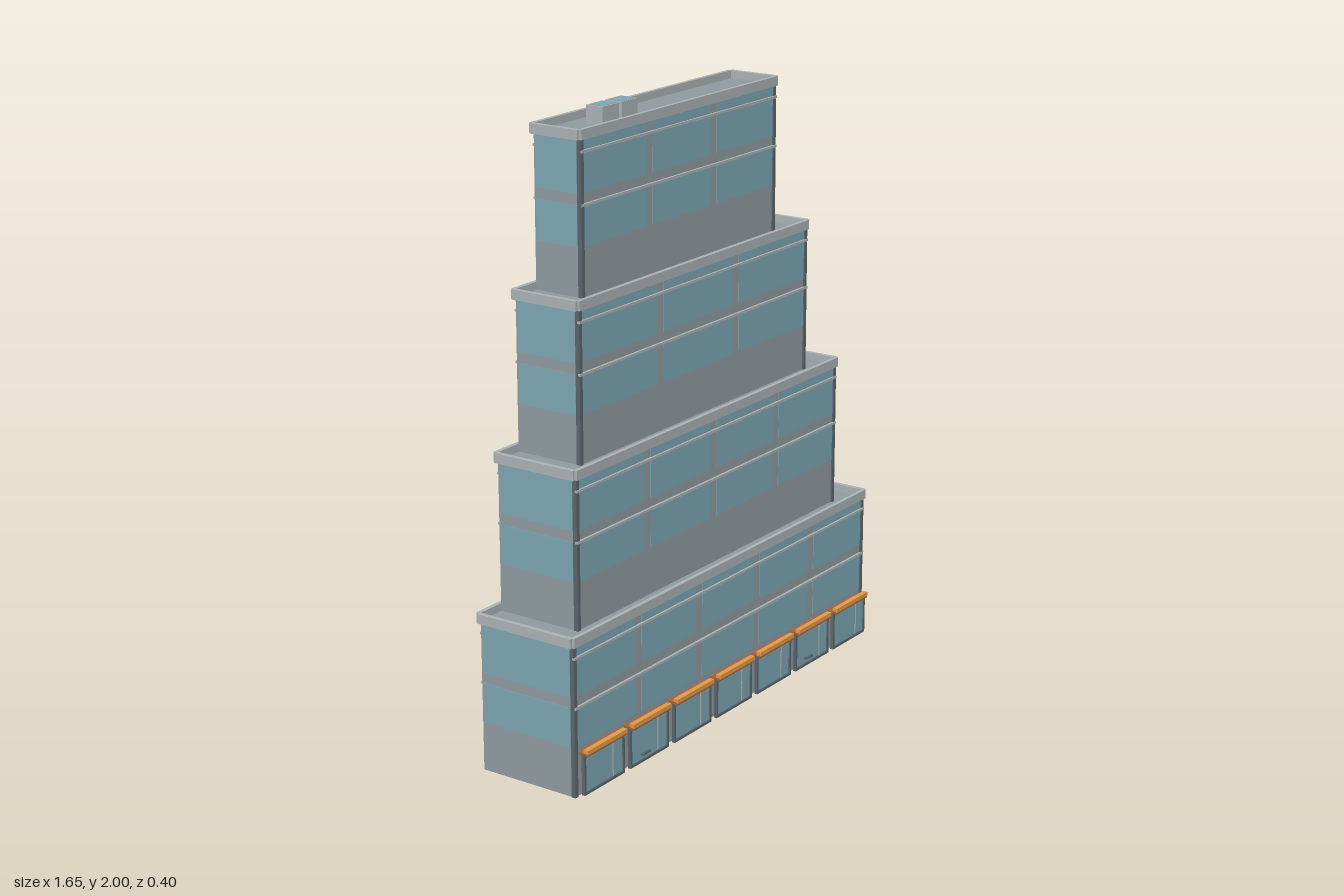
import * as THREE from 'three';

const mat = (color) => new THREE.MeshStandardMaterial({ color });

export function createModel() {
  const model = new THREE.Group();
  model.name = 'steppedBuilding';
  const wall = mat(0x8e999f), glass = mat(0x7ba4b1), trim = mat(0xa9b1b2),
    dark = mat(0x59646a), orange = mat(0xe09a45), rust = mat(0xa85f3c);

  // Box given by its extents on each axis
  function box(parent, name, material, x0, x1, y0, y1, z0, z1) {
    const mesh = new THREE.Mesh(new THREE.BoxGeometry(x1 - x0, y1 - y0, z1 - z0), material);
    mesh.position.set((x0 + x1) / 2, (y0 + y1) / 2, (z0 + z1) / 2);
    mesh.name = name;
    parent.add(mesh);
    return mesh;
  }

  const back = -0.188;
  const step = 0.482;
  const tiers = [
    { half: 0.81, front: 0.16, bays: 5 },
    { half: 0.712, front: 0.102, bays: 4 },
    { half: 0.613, front: 0.044, bays: 3 },
    { half: 0.514, front: -0.018, bays: 3 },
  ];

  tiers.forEach(({ half, front, bays }, i) => {
    const tier = new THREE.Group();
    tier.name = `tier${i + 1}`;
    model.add(tier);
    const y = i * step;
    const top = y + 0.49;
    box(tier, 'walls', wall, -half, half, y, top, back, front);

    // Two rows of windows on all four sides
    const rows = [[y + 0.16, y + 0.287], [y + 0.322, y + 0.484]];
    const bay = (2 * half) / bays;
    for (const [y0, y1] of rows) {
      for (let b = 0; b < bays; b++) {
        const x0 = -half + b * bay + (b ? 0.017 : 0.006);
        const x1 = -half + (b + 1) * bay - (b < bays - 1 ? 0.017 : 0.006);
        box(tier, 'frontWindow', glass, x0, x1, y0, y1, front - 0.002, front + 0.0015);
        box(tier, 'backWindow', glass, x0, x1, y0, y1, back - 0.0015, back + 0.002);
      }
      for (const s of [-1, 1]) {
        const xs = [s * (half - 0.002), s * (half + 0.0015)].sort((a, b) => a - b);
        box(tier, 'sideWindow', glass, xs[0], xs[1], y0, y1, back + 0.006, front - 0.012);
      }
    }

    // Ledges along front and back
    for (const h of [0.288, 0.448]) {
      box(tier, 'frontLedge', trim, -half - 0.003, half + 0.003, y + h - 0.004, y + h + 0.004, front - 0.002, front + 0.008);
      box(tier, 'backLedge', trim, -half, half, y + h - 0.004, y + h + 0.004, back - 0.005, back + 0.002);
    }

    // Corner pilasters at the front
    for (const s of [-1, 1]) {
      box(tier, 'cornerPilaster', dark, s * half - 0.007 - s * 0.004, s * half + 0.007 - s * 0.004, y, top, front - 0.01, front + 0.005);
    }

    // Parapet made of four bars around the roof
    const p0 = y + 0.484, p1 = y + 0.515;
    box(tier, 'frontParapet', trim, -half - 0.006, half + 0.006, p0, p1, front - 0.003, front + 0.01);
    box(tier, 'backParapet', trim, -half - 0.006, half + 0.006, p0, p1, back - 0.012, back + 0.002);
    box(tier, 'rightParapet', trim, -half - 0.015, -half + 0.001, p0, p1, back - 0.004, front + 0.002);
    box(tier, 'leftParapet', trim, half - 0.001, half + 0.015, p0, p1, back - 0.004, front + 0.002);
  });

  // Street-level shop fronts with awnings
  for (let i = 0; i < 7; i++) {
    const shop = new THREE.Group();
    shop.name = `shopFront${i + 1}`;
    shop.position.x = (i - 3) * 0.232;
    model.add(shop);
    const w = 0.097;
    box(shop, 'shopGlass', glass, -w, w, 0.012, 0.135, 0.179, 0.184);
    for (const s of [-1, 1]) {
      box(shop, 'framePost', dark, s * w - 0.004, s * w + 0.004, 0.008, 0.14, 0.177, 0.188);
    }
    box(shop, 'frameSill', dark, -w, w, 0.008, 0.017, 0.177, 0.188);
    box(shop, 'frameHead', dark, -w, w, 0.129, 0.138, 0.177, 0.188);
    box(shop, 'mullion', trim, 0.044, 0.048, 0.017, 0.13, 0.18, 0.186);
    box(shop, 'awning', rust, -w - 0.002, w + 0.002, 0.136, 0.146, 0.16, 0.197);
    box(shop, 'awningLip', orange, -w - 0.002, w + 0.002, 0.143, 0.157, 0.183, 0.2);
    if (i === 1 || i === 5) box(shop, 'doorHandle', dark, -0.044, -0.004, 0.032, 0.038, 0.18, 0.194);
  }

  // Rooftop units
  for (const x of [-0.325, -0.23]) {
    const unit = new THREE.Group();
    unit.name = 'roofUnit';
    model.add(unit);
    box(unit, 'unitBody', trim, x - 0.04, x + 0.04, 1.93, 1.999, -0.108, -0.046);
    box(unit, 'unitTop', glass, x - 0.034, x + 0.034, 1.99, 2.0, -0.102, -0.052);
  }
  return model;
}
